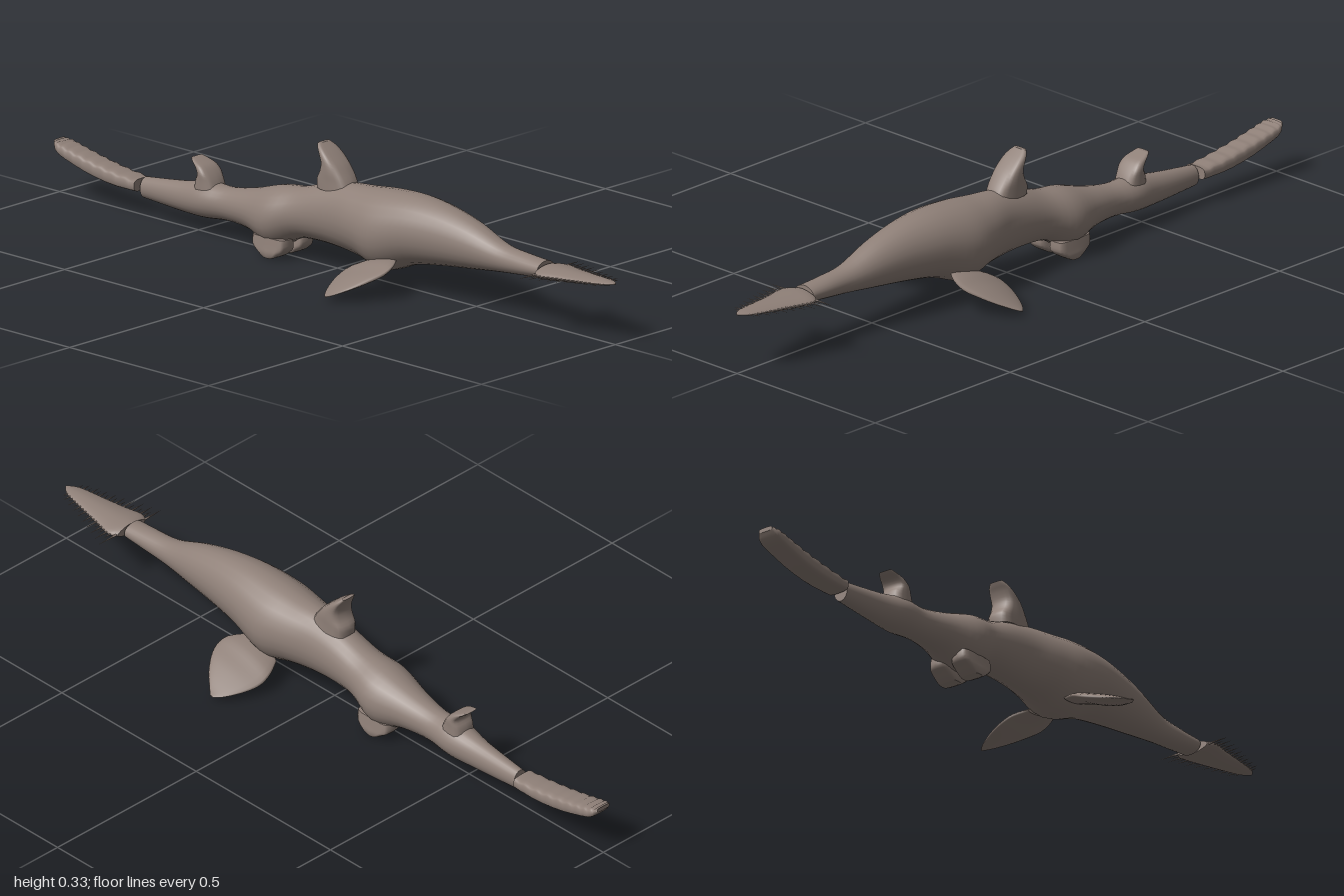
import * as THREE from 'three';

const skin = new THREE.MeshStandardMaterial({ color: 0x8f8078 });
skin.name = 'greyBrownSkin';

// Smooth interpolation through rows of numbers
function refine(rows, steps) {
  const out = [];
  const at = i => rows[Math.max(0, Math.min(rows.length - 1, i))];
  for (let i = 0; i < rows.length - 1; i++) {
    for (let s = 0; s < steps; s++) {
      const t = s / steps;
      out.push(rows[i].map((b, k) => {
        const a = at(i - 1)[k], c = at(i + 1)[k], d = at(i + 2)[k];
        return b + 0.5 * t * (c - a + t * (2 * a - 5 * b + 4 * c - d + t * (3 * (b - c) + d - a)));
      }));
    }
  }
  out.push(rows[rows.length - 1]);
  return out;
}

// Unit superellipse ring: power 1 is round, smaller is boxier
function ringUV(n, power) {
  const f = v => Math.sign(v) * Math.pow(Math.abs(v), power);
  return Array.from({ length: n }, (_, i) => {
    const a = i / n * Math.PI * 2;
    return [f(Math.cos(a)), f(Math.sin(a))];
  });
}

// Closed skin over equal rings of [x, y, z], capped at both ends, always facing outwards
function loft(name, rings) {
  const n = rings[0].length, m = rings.length, pos = rings.flat(), tri = [];
  for (let r = 0; r < m - 1; r++) {
    for (let i = 0; i < n; i++) {
      const a = r * n + i, b = r * n + (i + 1) % n;
      tri.push([a, b, b + n], [a, b + n, a + n]);
    }
  }
  const start = pos.length;
  pos.push(...rings[0], ...rings[m - 1]);
  for (let i = 1; i < n - 1; i++) {
    tri.push([start, start + i + 1, start + i], [start + n, start + n + i, start + n + i + 1]);
  }
  let volume = 0;
  const [a, b, c] = [0, 0, 0].map(() => new THREE.Vector3());
  for (const t of tri) {
    a.fromArray(pos[t[0]]); b.fromArray(pos[t[1]]); c.fromArray(pos[t[2]]);
    volume += a.dot(b.cross(c));
  }
  if (volume < 0) tri.forEach(t => t.reverse());
  const g = new THREE.BufferGeometry();
  g.setAttribute('position', new THREE.Float32BufferAttribute(pos.flat(), 3));
  g.setIndex(tri.flat());
  g.computeVertexNormals();
  const mesh = new THREE.Mesh(g, skin);
  mesh.name = name;
  return mesh;
}

// Lengthwise part from rows of [x, top, bottom, halfWidth]
function lengthwise(name, rows, n, power) {
  const uv = ringUV(n, power);
  return loft(name, rows.map(([x, top, bottom, w]) =>
    uv.map(([u, v]) => [x, (top + bottom) / 2 + v * (top - bottom) / 2, u * w])));
}

// Upright fin from rows of [y, backX, frontX, halfWidth]
function upright(name, rows, power, z = 0) {
  const uv = ringUV(16, power);
  return loft(name, refine(rows, 3).map(([y, x0, x1, w]) =>
    uv.map(([u, v]) => [(x0 + x1) / 2 + u * (x1 - x0) / 2, y, z + v * w])));
}

export function createModel() {
  const model = new THREE.Group();
  model.name = 'sawShark';

  // Body with swellings where the fins attach
  model.add(lengthwise('body', refine([
    [-0.69, 0.105, 0.048, 0.022], [-0.55, 0.123, 0.041, 0.034], [-0.46, 0.14, 0.042, 0.048],
    [-0.38, 0.14, 0.05, 0.043], [-0.29, 0.158, 0.045, 0.058], [-0.2, 0.185, 0.021, 0.08],
    [-0.12, 0.197, 0.058, 0.066], [-0.04, 0.222, 0.065, 0.064], [0.04, 0.24, 0.062, 0.07],
    [0.12, 0.247, 0.055, 0.088], [0.2, 0.256, 0.038, 0.1], [0.3, 0.26, 0.073, 0.087],
    [0.4, 0.25, 0.09, 0.07], [0.5, 0.226, 0.102, 0.054], [0.6, 0.19, 0.114, 0.037],
    [0.68, 0.18, 0.122, 0.034], [0.75, 0.175, 0.13, 0.033],
  ], 4), 24, 1));

  // Tail fin with a notched upper edge
  const tail = refine([
    [-0.7, 0.1, 0.066, 0.034], [-0.78, 0.108, 0.066, 0.036], [-0.86, 0.12, 0.076, 0.036],
    [-0.93, 0.133, 0.094, 0.036], [-0.98, 0.143, 0.112, 0.034], [-1, 0.146, 0.134, 0.022],
  ], 6).map(([x, top, bottom, w], i) => [x, top - (i % 3) * 0.002, bottom, w]);
  model.add(lengthwise('tailFin', tail, 20, 0.6));

  // Flat saw snout
  const snout = refine([
    [0.757, 0.168, 0.136, 0.05], [0.78, 0.17, 0.135, 0.063], [0.83, 0.169, 0.138, 0.052],
    [0.89, 0.168, 0.145, 0.04], [0.96, 0.168, 0.154, 0.026], [0.985, 0.167, 0.158, 0.016],
    [1, 0.165, 0.162, 0.003],
  ], 3);
  model.add(lengthwise('snout', snout, 20, 1.2));

  // Teeth along both edges of the snout
  const teeth = new THREE.Group();
  teeth.name = 'sawTeeth';
  for (let i = 0; i < 18; i++) {
    const x = 0.762 + i * 0.0125, t = i / 17;
    const length = (0.056 - 0.034 * t) * (i % 2 ? 0.6 : 1);
    const width = 0.06 - 0.036 * t;
    for (const side of [-1, 1]) {
      const tooth = new THREE.Mesh(new THREE.ConeGeometry(0.0035, length + 0.012, 6), skin);
      tooth.name = 'tooth';
      tooth.rotation.x = side * Math.PI / 2;
      tooth.position.set(x, 0.152 + 0.01 * t, side * (width - 0.006 + length / 2));
      teeth.add(tooth);
    }
  }
  model.add(teeth);

  // Dorsal fins, swept back
  model.add(upright('frontDorsalFin', [
    [0.215, -0.056, 0.065, 0.038], [0.24, -0.056, 0.053, 0.038], [0.262, -0.042, 0.037, 0.039],
    [0.285, -0.036, 0.017, 0.038], [0.308, -0.042, -0.01, 0.035], [0.323, -0.05, -0.03, 0.029],
    [0.333, -0.055, -0.044, 0.02],
  ], 0.65));
  model.add(upright('rearDorsalFin', [
    [0.12, -0.495, -0.42, 0.036], [0.145, -0.49, -0.43, 0.036], [0.165, -0.48, -0.443, 0.037],
    [0.182, -0.49, -0.46, 0.033], [0.192, -0.503, -0.482, 0.027], [0.199, -0.51, -0.5, 0.02],
  ], 0.65));

  // Paired fins: leaf shaped pectorals and short pelvic paddles
  const leaf = ringUV(20, 1.1);
  const pectoral = refine([
    [0.06, 0.155, 0.27, 0.094, 0.055], [0.1, 0.135, 0.298, 0.093, 0.043],
    [0.135, 0.131, 0.302, 0.081, 0.029], [0.17, 0.141, 0.286, 0.067, 0.021],
    [0.205, 0.159, 0.258, 0.047, 0.017], [0.235, 0.18, 0.224, 0.027, 0.015],
    [0.25, 0.196, 0.206, 0.019, 0.015],
  ], 3);
  for (const side of [-1, 1]) {
    const label = side > 0 ? 'front' : 'back';
    model.add(loft(label + 'PectoralFin', pectoral.map(([z, x0, x1, top, bottom]) =>
      leaf.map(([u, v]) => {
        const h = (top - bottom) / 2;
        return [(x0 + x1) / 2 + u * (x1 - x0) / 2, (top + bottom) / 2 + h * (0.6 * v + 0.75 * u), side * z];
      }))));
    model.add(upright(label + 'PelvicFin', [
      [0.055, -0.255, -0.14, 0.026], [0.03, -0.255, -0.14, 0.029], [0.016, -0.237, -0.153, 0.031],
      [0.006, -0.222, -0.167, 0.03], [0, -0.21, -0.18, 0.028],
    ], 0.45, side * 0.036));
  }
  return model;
}
